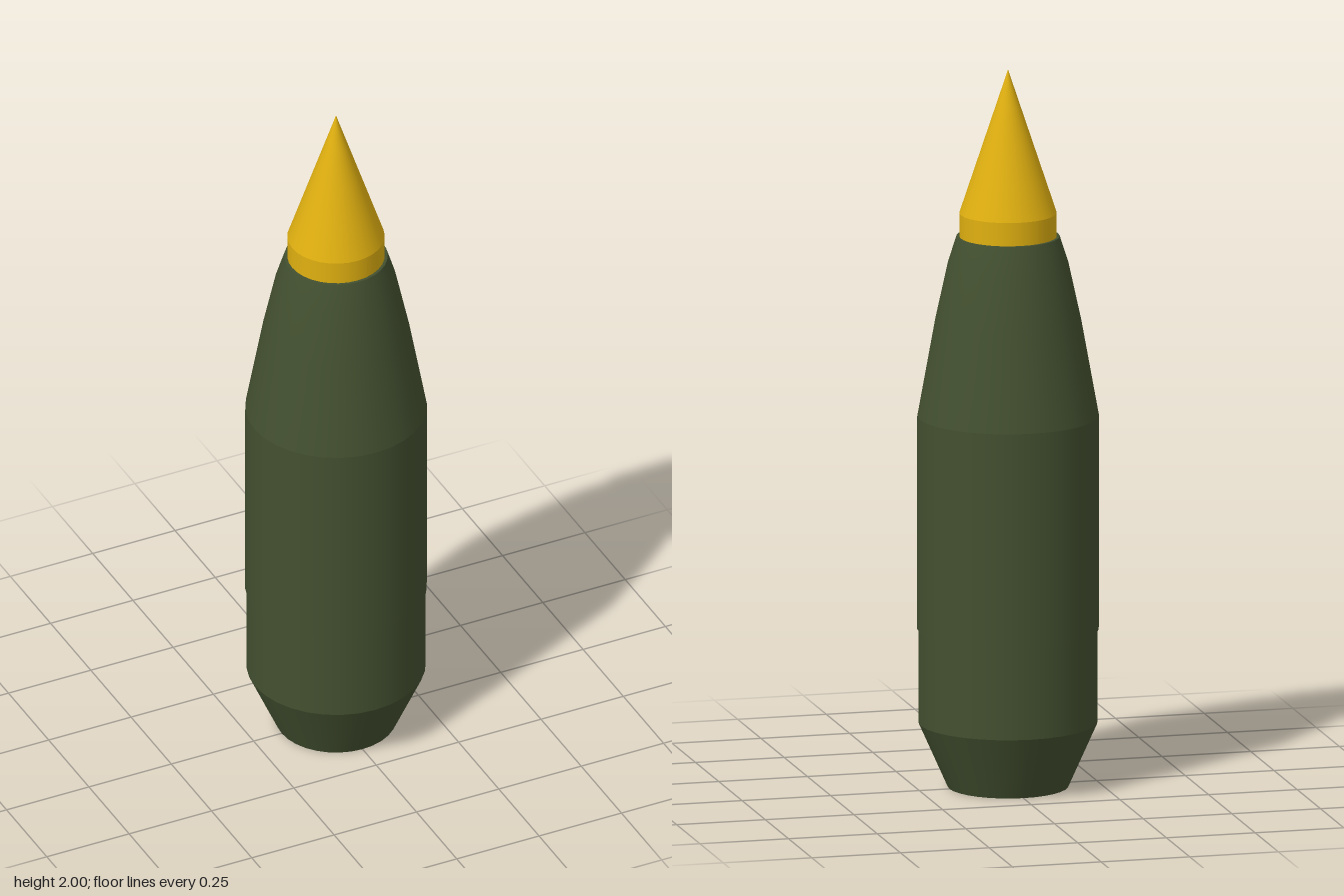
import * as THREE from 'three';

const SIDES = 32;

export function createModel() {
  const model = new THREE.Group();
  model.name = 'shell';
  const green = new THREE.MeshStandardMaterial({ color: 0x435030 });
  const yellow = new THREE.MeshStandardMaterial({ color: 0xe0b010 });

  const add = (name, geometry, material, y = 0) => {
    const mesh = new THREE.Mesh(geometry, material);
    mesh.name = name;
    mesh.position.y = y;
    model.add(mesh);
  };

  // Capped round section from height y0 to y1
  const section = (name, material, r0, r1, y0, y1) =>
    add(name, new THREE.CylinderGeometry(r1, r0, y1 - y0, SIDES), material, (y0 + y1) / 2);

  // Tapered tail and straight casing, the upper part slightly wider
  section('boatTail', green, 0.165, 0.245, 0, 0.18);
  section('lowerCasing', green, 0.245, 0.245, 0.18, 0.44);
  section('upperCasing', green, 0.248, 0.248, 0.44, 1.035);

  // Curved shoulder, closed by a flat rim under the nose
  const profile = [[0.248, 1.035], [0.2, 1.3], [0.165, 1.46], [0.141, 1.535]];
  add('ogive', new THREE.LatheGeometry(profile.map(([r, y]) => new THREE.Vector2(r, y)), SIDES), green);
  add('ogiveRim', new THREE.CircleGeometry(0.141, SIDES).rotateX(-Math.PI / 2), green, 1.535);

  // Nose: short collar and pointed cone
  section('noseCollar', yellow, 0.133, 0.133, 1.535, 1.6);
  add('noseCone', new THREE.ConeGeometry(0.133, 0.4, SIDES, 4), yellow, 1.8);

  return model;
}
